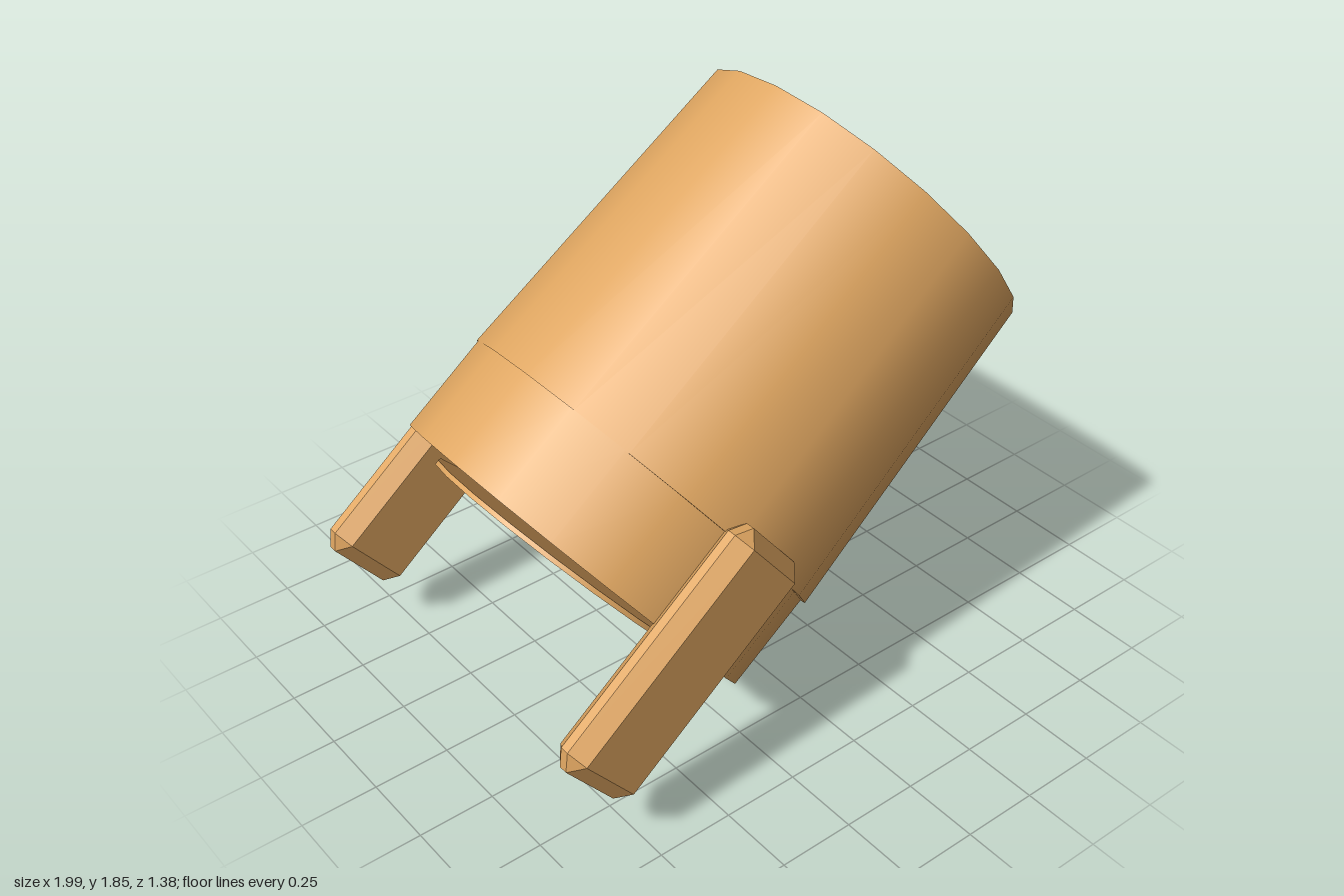
import * as THREE from 'three';
import { ConvexGeometry } from 'three/addons/geometries/ConvexGeometry.js';

// Box with every edge chamfered; hx, hy, hz are the half sizes
function chamferedBox(hx, hy, hz, c) {
  const pts = [];
  for (const x of [-1, 1]) for (const y of [-1, 1]) for (const z of [-1, 1]) {
    pts.push(new THREE.Vector3(x * hx, y * (hy - c), z * (hz - c)));
    pts.push(new THREE.Vector3(x * (hx - c), y * hy, z * (hz - c)));
    pts.push(new THREE.Vector3(x * (hx - c), y * (hy - c), z * hz));
  }
  return new ConvexGeometry(pts);
}

export function createModel() {
  const model = new THREE.Group();
  const tan = new THREE.MeshStandardMaterial({ color: 0xdea560 });
  tan.name = 'tan';

  function add(name, geometry, x, y, z, degrees) {
    const mesh = new THREE.Mesh(geometry, tan);
    mesh.name = name;
    mesh.position.set(x, y, z);
    mesh.rotation.z = THREE.MathUtils.degToRad(degrees);
    model.add(mesh);
    return mesh;
  }

  // Tilted tapering barrel and the straight, slightly flattened collar below it
  add('barrel', new THREE.CylinderGeometry(0.595, 0.643, 1.1, 20), 0.196, 1.046, 0, -52.9);
  const collar = add('collar', new THREE.CylinderGeometry(0.647, 0.647, 0.324, 20), -0.373, 0.62, 0, -52.9);
  collar.scale.z = 0.96;

  // Thin disc sitting a little askew on the lower end
  add('endDisc', new THREE.CylinderGeometry(0.5, 0.5, 0.015, 20), -0.52, 0.515, 0, -50.3);

  // Chamfered arms on both sides
  for (const side of [1, -1]) {
    add(side > 0 ? 'leftArm' : 'rightArm',
      chamferedBox(0.422, 0.173, 0.0625, 0.048), -0.583, 0.562, side * 0.6275, 38.3);
  }
  return model;
}
